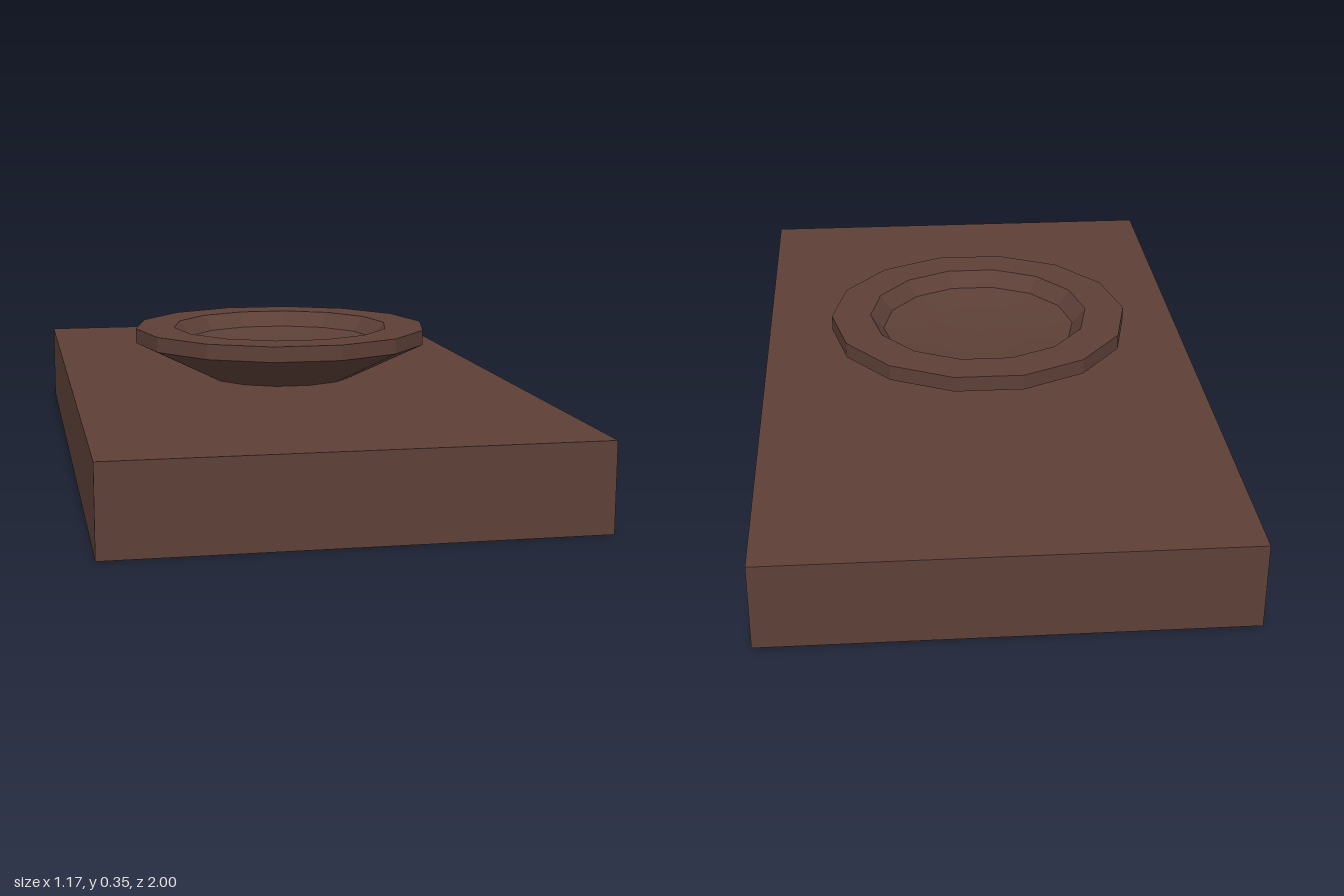
import * as THREE from 'three';

export function createModel() {
  const model = new THREE.Group();
  const brown = new THREE.MeshStandardMaterial({ color: 0x5d4037 });
  brown.name = 'brown';

  // Rectangular slab
  const slabHeight = 0.218;
  const slab = new THREE.Mesh(new THREE.BoxGeometry(1.17, slabHeight, 2), brown);
  slab.name = 'slab';
  slab.position.y = slabHeight / 2;
  model.add(slab);

  // Fourteen-sided dish: flared underside, upright rim, shallow hollow
  const profile = [
    [0, 0.217], [0.2, 0.217], [0.4, 0.315], [0.4, 0.355],
    [0.295, 0.355], [0.26, 0.315], [0.15, 0.302], [0, 0.296],
  ].map(([r, y]) => new THREE.Vector2(r, y));
  const dishGeometry = new THREE.LatheGeometry(profile, 14, Math.PI / 2).toNonIndexed();
  dishGeometry.computeVertexNormals(); // flat facets
  const dish = new THREE.Mesh(dishGeometry, brown);
  dish.name = 'dish';
  model.add(dish);

  return model;
}
